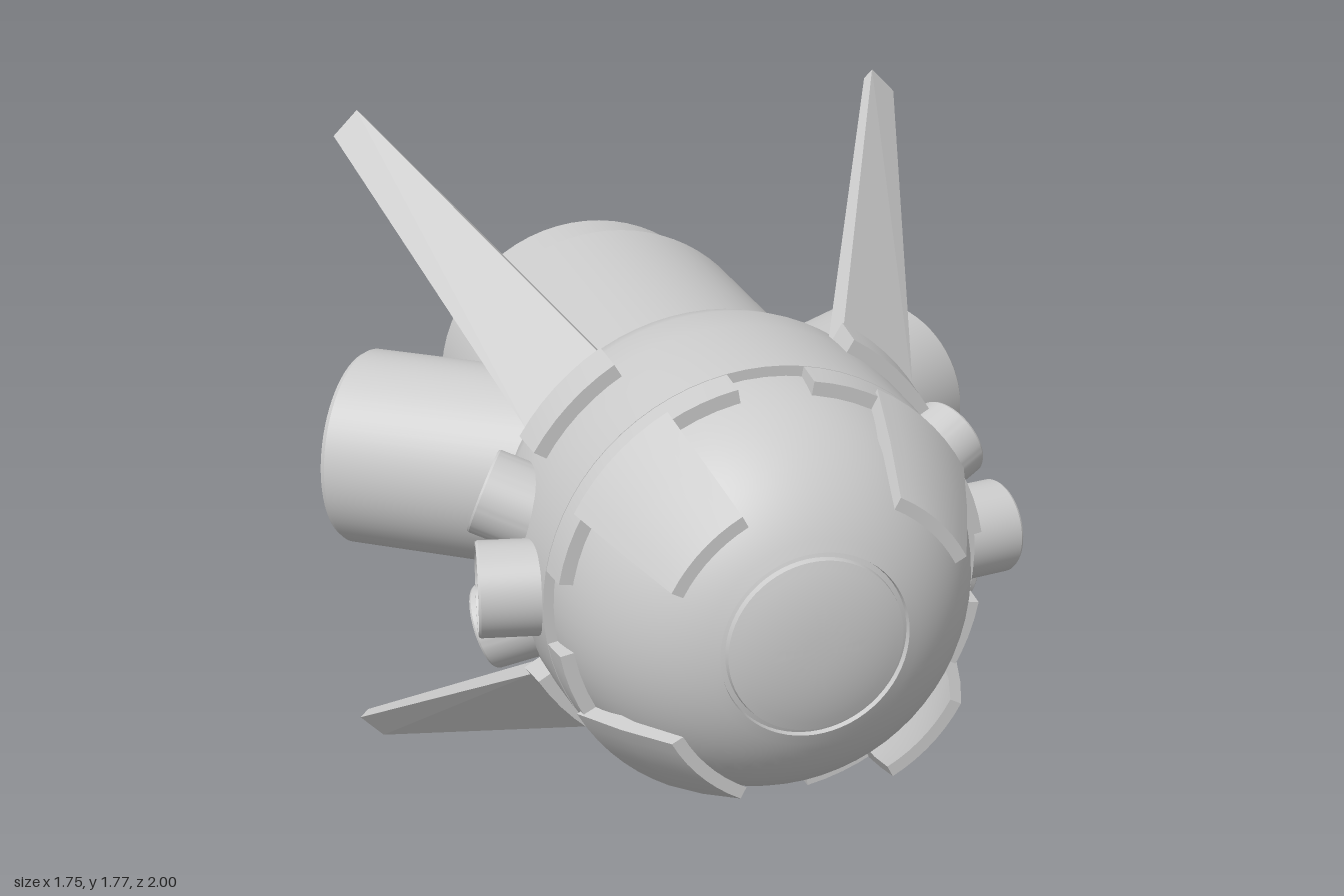
import * as THREE from 'three';
import { toCreasedNormals } from 'three/addons/utils/BufferGeometryUtils.js';
import { ConvexGeometry } from 'three/addons/geometries/ConvexGeometry.js';

const material = new THREE.MeshStandardMaterial({ color: 0xcccccc, side: THREE.DoubleSide });
const deg = THREE.MathUtils.degToRad;
const V = (x, y, z) => new THREE.Vector3(x, y, z);

function addMesh(parent, name, geometry) {
  const mesh = new THREE.Mesh(geometry, material);
  mesh.name = name;
  parent.add(mesh);
  return mesh;
}

// Turned part from [radius, height] pairs, with sharp edges kept
function turned(points, sides = 64) {
  const profile = points.map(([r, h]) => new THREE.Vector2(r, h));
  return toCreasedNormals(new THREE.LatheGeometry(profile, sides), 0.45);
}

// Solid panel wrapped round the z axis: [radius, z] section swept between two angles
function curvedPanel(section, from, to) {
  const shape = new THREE.Shape(section.map(([r, z]) => new THREE.Vector2(r, z)));
  const steps = Math.ceil((to - from) / 5);
  const geometry = new THREE.ExtrudeGeometry(shape, { depth: 1, steps, bevelEnabled: false });
  const p = geometry.attributes.position;
  for (let i = 0; i < p.count; i++) {
    const r = p.getX(i), z = p.getY(i), a = deg(to - p.getZ(i) * (to - from));
    p.setXYZ(i, r * Math.cos(a), r * Math.sin(a), z);
  }
  return toCreasedNormals(geometry, 0.45);
}

// Cylindrical engine with a recessed nozzle; tip is the centre of its open end
function addEngine(parent, name, tip, direction, radius, length) {
  const profile = [
    [1, -length / radius], [1, -0.05], [0.97, 0], [0.89, 0], [0.86, -0.18], [0.78, -0.2],
    [0.55, -0.1], [0.49, -0.1], [0.46, -0.14], [0.32, -0.5], [0, -0.5],
  ].map(([r, h]) => [r * radius, h * radius]);
  const mesh = addMesh(parent, name, turned(profile));
  mesh.position.copy(tip);
  mesh.quaternion.setFromUnitVectors(V(0, 1, 0), direction.normalize());
}

export function createModel() {
  const model = new THREE.Group();
  model.name = 'spacePod';
  const body = new THREE.Group();
  body.name = 'body';
  body.position.y = 0.885;
  model.add(body);

  // Nose dome: rounded profile with a groove round the front window
  const dome = [];
  const domePoint = (a, inset = 0) => [
    0.52 * Math.pow(Math.max(0, Math.cos(a)), 0.87),
    0.45 + 0.55 * Math.pow(Math.sin(a), 0.87) - inset,
  ];
  const groove = Math.acos(Math.pow(0.225 / 0.52, 1 / 0.87));
  for (let i = 0; i <= 20; i++) dome.push(domePoint((groove * i) / 20));
  dome.push(domePoint(groove + 0.005, 0.015), domePoint(groove + 0.03, 0.015));
  for (let i = 0; i <= 8; i++) {
    dome.push(domePoint(groove + 0.035 + ((Math.PI / 2 - groove - 0.035) * i) / 8));
  }
  addMesh(body, 'noseDome', turned(dome).rotateX(Math.PI / 2));

  // Armour shell round the middle
  const shell = [
    [0.4, 0.05], [0.455, 0.05], [0.495, 0.09], [0.525, 0.14], [0.54, 0.2], [0.543, 0.32],
    [0.541, 0.45], [0.535, 0.59], [0.48, 0.59],
  ];
  addMesh(body, 'shell', turned(shell, 72).rotateX(Math.PI / 2));

  // Shell rim with four notches, petals over the dome, and fin mounts
  const rim = [[0.49, 0.58], [0.535, 0.58], [0.525, 0.67], [0.485, 0.67]];
  const petal = [[0.485, 0.65], [0.537, 0.65], [0.47, 0.82], [0.392, 0.99], [0.362, 0.99], [0.435, 0.82]];
  const mount = [[0.5, 0.27], [0.588, 0.27], [0.577, 0.37], [0.5, 0.37]];
  for (let q = 0; q < 4; q++) {
    const a = q * 90;
    addMesh(body, 'shellRim', curvedPanel(rim, a + 10, a + 80));
    addMesh(body, 'petal', curvedPanel(petal, a + 28, a + 62));
    addMesh(body, 'finMount', curvedPanel(mount, a + 31, a + 59));
  }

  // Swept tapering fins
  for (const sx of [1, -1]) {
    for (const sy of [1, -1]) {
      const corners = [
        [0.3, 0.485, 0.285], [0.485, 0.315, 0.285], [0.26, 0.445, 0.285], [0.445, 0.275, 0.285],
        [0.695, 0.885, -0.605], [0.757, 0.822, -0.605], [0.673, 0.863, -0.605], [0.735, 0.8, -0.605],
      ];
      addMesh(body, 'fin', new ConvexGeometry(corners.map(([x, y, z]) => V(sx * x, sy * y, z))));
    }
  }

  // Main engine and the curved plates above and below it
  addEngine(body, 'mainEngine', V(0, 0, -1), V(0, 0, -1), 0.418, 1.3);
  const plate = [[0.4, -0.77], [0.445, -0.77], [0.455, -0.76], [0.455, 0.08], [0.4, 0.08]];
  addMesh(body, 'topPlate', curvedPanel(plate, 35.5, 144.5));
  addMesh(body, 'bottomPlate', curvedPanel(plate, 215.5, 324.5));

  // Side engines and manoeuvring thrusters
  for (const s of [1, -1]) {
    addEngine(body, 'sideEngine', V(s * 0.728, 0, -0.547), V(s * 0.8, 0, -0.6), 0.255, 0.8);
    addEngine(body, 'middleThruster', V(s * 0.657, 0, 0.442), V(s * 0.98, 0, -0.19), 0.115, 0.22);
    for (const t of [1, -1]) {
      addEngine(body, 'outerThruster', V(s * 0.597, t * 0.178, 0.275), V(s * 0.85, t * 0.35, -0.38), 0.105, 0.22);
    }
  }
  return model;
}
